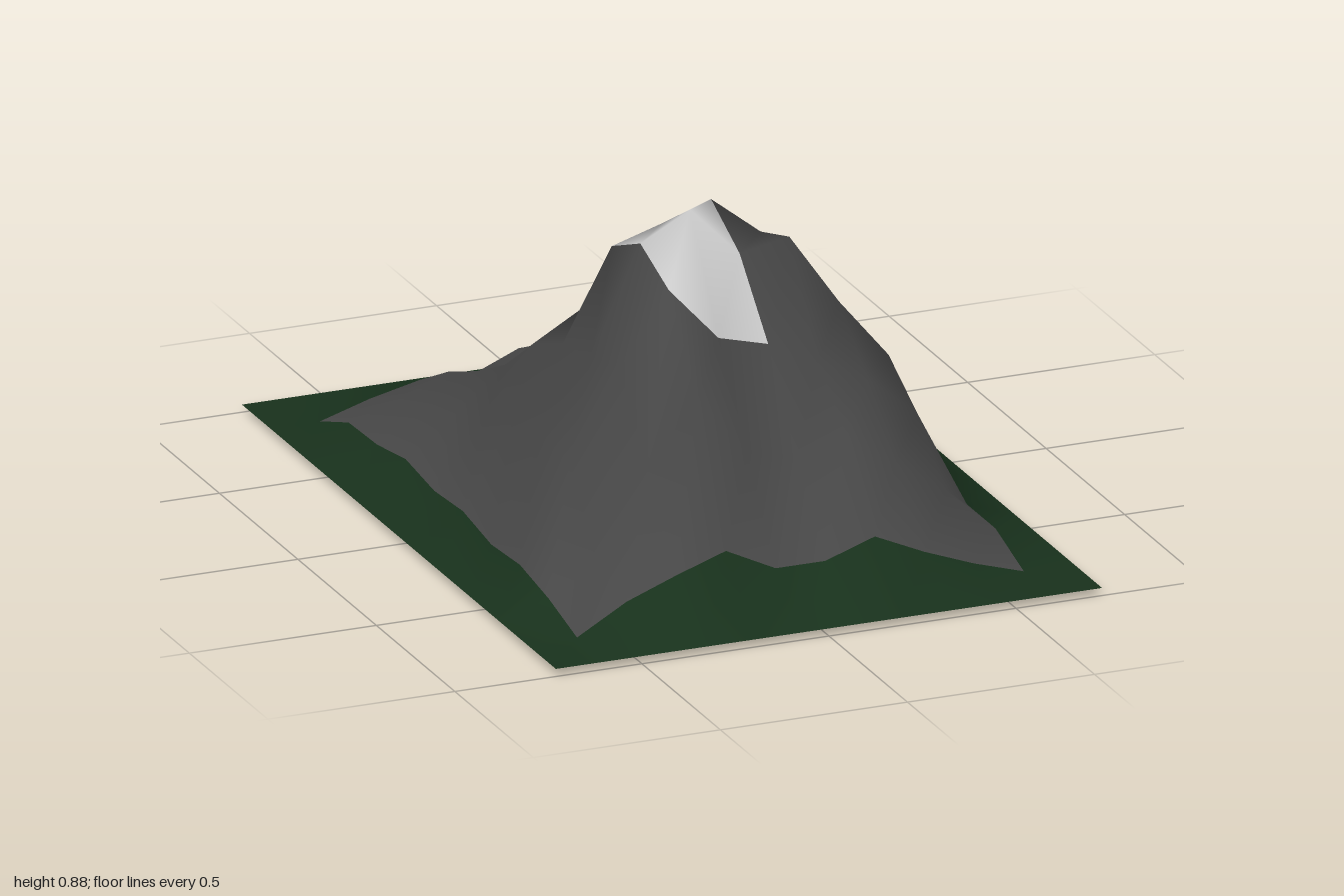
import * as THREE from 'three';

const CELLS = 11, WIDTH = 1.46, DEPTH = 2, BASE = 0.02;

// Height profiles running back to front, one per grid line from -x to +x (outer border lies at BASE)
const profiles = [
  [0.02, 0.08, 0.085, 0.11, 0.09, 0.10, 0.075, 0.085, 0.06, 0.02],
  [0.06, 0.12, 0.16, 0.21, 0.26, 0.32, 0.35, 0.335, 0.13, 0.095],
  [0.09, 0.175, 0.24, 0.32, 0.44, 0.50, 0.53, 0.565, 0.365, 0.145],
  [0.08, 0.10, 0.18, 0.36, 0.515, 0.74, 0.81, 0.75, 0.53, 0.19],
  [0.135, 0.11, 0.06, 0.00, 0.24, 0.78, 0.88, 0.605, 0.37, 0.125],
  [0.14, 0.31, 0.22, 0.095, 0.28, 0.825, 0.745, 0.57, 0.33, 0.125],
  [0.19, 0.325, 0.24, 0.36, 0.515, 0.72, 0.77, 0.505, 0.37, 0.17],
  [0.14, 0.345, 0.39, 0.50, 0.505, 0.54, 0.58, 0.44, 0.28, 0.11],
  [0.09, 0.25, 0.30, 0.32, 0.36, 0.39, 0.42, 0.33, 0.19, 0.06],
  [0.02, 0.085, 0.17, 0.16, 0.11, 0.12, 0.12, 0.07, 0.07, 0.02],
];

const heightAt = (ix, iz) => profiles[ix - 1]?.[iz - 1] ?? BASE;

// Which ground cover a grid cell belongs to
function coverOf(ix, iz) {
  if (ix === 0 || iz === 0 || ix === CELLS - 1 || iz === CELLS - 1) return 'grass';
  const onSummit = (ix === 4 || ix === 5) && (iz === 6 || iz === 7);
  return onSummit ? 'snow' : 'rock';
}

export function createModel() {
  const model = new THREE.Group();
  model.name = 'mountain';

  // Whole terrain as one displaced plane, so normals stay smooth across covers
  const terrain = new THREE.PlaneGeometry(WIDTH, DEPTH, CELLS, CELLS).rotateX(-Math.PI / 2);
  const position = terrain.attributes.position;
  for (let iz = 0; iz <= CELLS; iz++) {
    for (let ix = 0; ix <= CELLS; ix++) {
      position.setY(iz * (CELLS + 1) + ix, heightAt(ix, iz));
    }
  }
  terrain.computeVertexNormals();

  // Sort the cells (two triangles each) by cover
  const faces = { grass: [], rock: [], snow: [] };
  for (let iz = 0; iz < CELLS; iz++) {
    for (let ix = 0; ix < CELLS; ix++) {
      const start = (iz * CELLS + ix) * 6;
      faces[coverOf(ix, iz)].push(...terrain.index.array.slice(start, start + 6));
    }
  }

  // Grass border, rocky slopes and snow cap
  const parts = [
    ['grassBorder', 'grass', 0x18311c],
    ['rockSlopes', 'rock', 0x474747],
    ['snowCap', 'snow', 0xcccccc],
  ];
  for (const [name, cover, color] of parts) {
    const geometry = terrain.clone().setIndex(faces[cover]).toNonIndexed();
    const material = new THREE.MeshStandardMaterial({ color, side: THREE.DoubleSide });
    const mesh = new THREE.Mesh(geometry, material);
    mesh.name = name;
    model.add(mesh);
  }
  return model;
}
